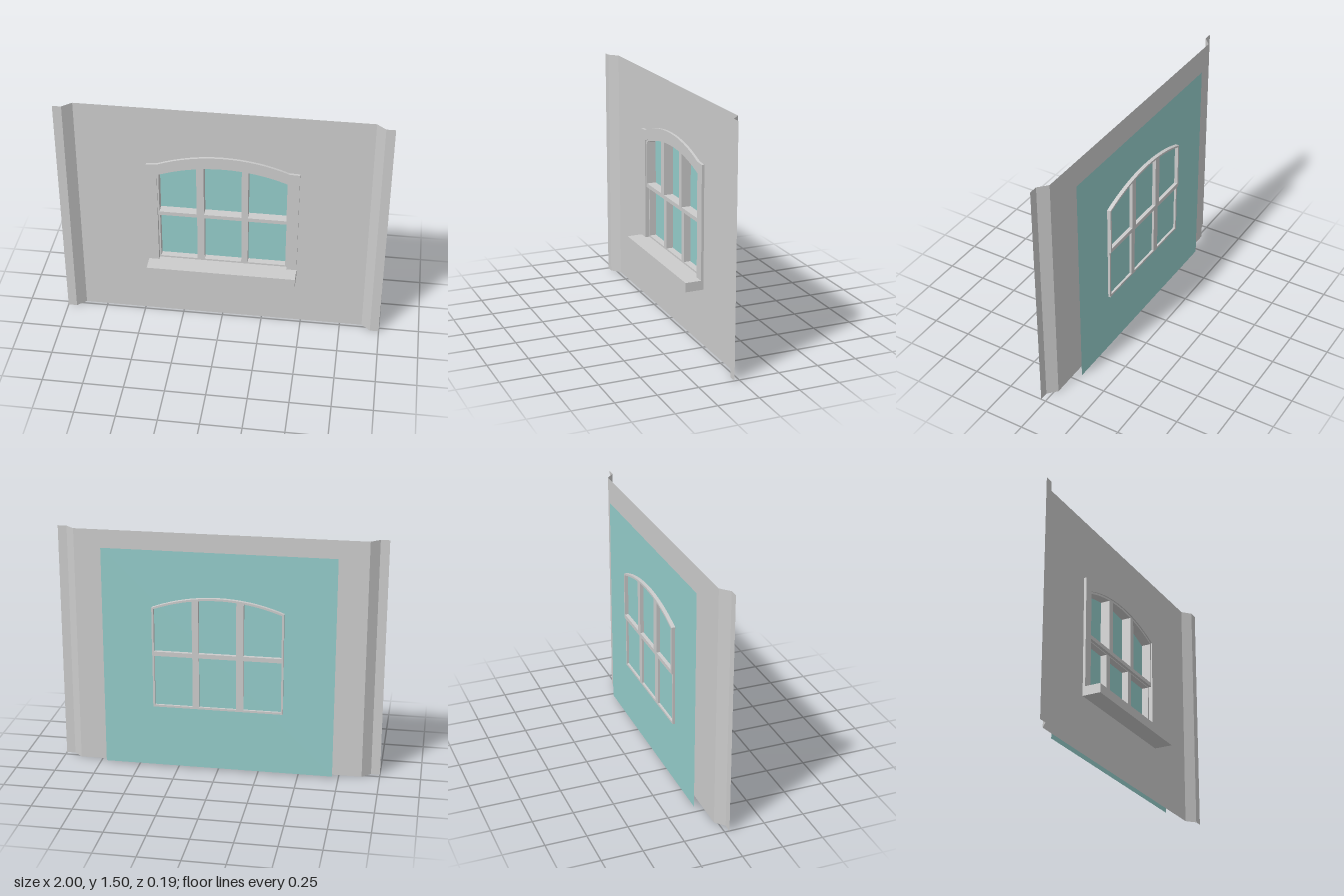
import * as THREE from 'three';

const grey = new THREE.MeshStandardMaterial({ color: 0xcccccc, side: THREE.DoubleSide });
const glass = new THREE.MeshStandardMaterial({ color: 0x94ccca, side: THREE.DoubleSide });

// Height of the window arch at x, moved up or down by lift
const R = 1.104;
const archY = (x, lift = 0) => 1.125 + lift - R + Math.sqrt(R * R - x * x);

// Outline with a flat bottom and an arched top between x0 and x1
function archedOutline(x0, x1, bottom, lift = 0, steps = 16) {
  const pts = [new THREE.Vector2(x0, bottom), new THREE.Vector2(x1, bottom)];
  for (let i = 0; i <= steps; i++) {
    const x = x1 + (x0 - x1) * i / steps;
    pts.push(new THREE.Vector2(x, archY(x, lift)));
  }
  return pts;
}

function rectOutline(x0, x1, y0, y1) {
  return [[x0, y0], [x1, y0], [x1, y1], [x0, y1]].map(p => new THREE.Vector2(...p));
}

function shapeWithHoles(outline, holes = []) {
  const shape = new THREE.Shape(outline);
  holes.forEach(h => shape.holes.push(new THREE.Path(h)));
  return shape;
}

export function createModel() {
  const group = new THREE.Group();
  const add = (name, geometry, material = grey) => {
    const mesh = new THREE.Mesh(geometry, material);
    mesh.name = name;
    group.add(mesh);
    return mesh;
  };
  const slab = (name, shape, back, front) => add(name,
    new THREE.ExtrudeGeometry(shape, { depth: front - back, bevelEnabled: false }).translate(0, 0, back));

  // Thin wall sheet with the window opening
  const wall = shapeWithHoles(rectOutline(-0.89, 0.89, 0, 1.5), [archedOutline(-0.4, 0.4, 0.405)]);
  add('wallPanel', new THREE.ShapeGeometry(wall).translate(0, 0, -0.02));

  // Folded wall edges: a slanted strip and a flat strip on each side
  const strip = (name, xa, za, xb, zb) => {
    const g = new THREE.PlaneGeometry(Math.hypot(xb - xa, zb - za), 1.5);
    g.rotateY(-Math.atan2(zb - za, xb - xa));
    add(name, g.translate((xa + xb) / 2, 0.75, (za + zb) / 2));
  };
  strip('rightEdgeStrip', -1, 0.03, -0.945, 0.03);
  strip('rightEdgeSlant', -0.945, 0.03, -0.89, -0.02);
  strip('leftEdgeSlant', 0.89, -0.02, 0.945, 0.03);
  strip('leftEdgeStrip', 0.945, 0.03, 1, 0.03);

  // Raised surround: two jambs and an arched head with square shoulders
  const surround = archedOutline(-0.4, 0.4, 0.35, 0.068);
  surround.splice(0, 2,
    new THREE.Vector2(-0.463, 1.115), new THREE.Vector2(-0.463, 0.35),
    new THREE.Vector2(0.463, 0.35), new THREE.Vector2(0.463, 1.115));
  slab('windowSurround', shapeWithHoles(surround, [archedOutline(-0.4, 0.4, 0.405)]), -0.03, -0.004);

  // Window sill
  add('windowSill', new THREE.BoxGeometry(0.926, 0.058, 0.125).translate(0, 0.379, 0.0325));

  // Upper and lower sashes, three panes across
  const panes = [[-0.39, -0.16], [-0.115, 0.115], [0.155, 0.39]];
  slab('upperSash', shapeWithHoles(archedOutline(-0.402, 0.402, 0.745),
    panes.map(([a, b]) => archedOutline(a, b, 0.77, -0.013, 8))), -0.095, -0.012);
  slab('lowerSash', shapeWithHoles(rectOutline(-0.402, 0.402, 0.406, 0.745),
    panes.map(([a, b]) => rectOutline(a, b, 0.419, 0.739))), -0.086, -0.03);

  // Large glass sheet behind the wall
  add('glassSheet', new THREE.PlaneGeometry(1.424, 1.39).translate(0, 0.706, -0.072), glass);

  return group;
}
